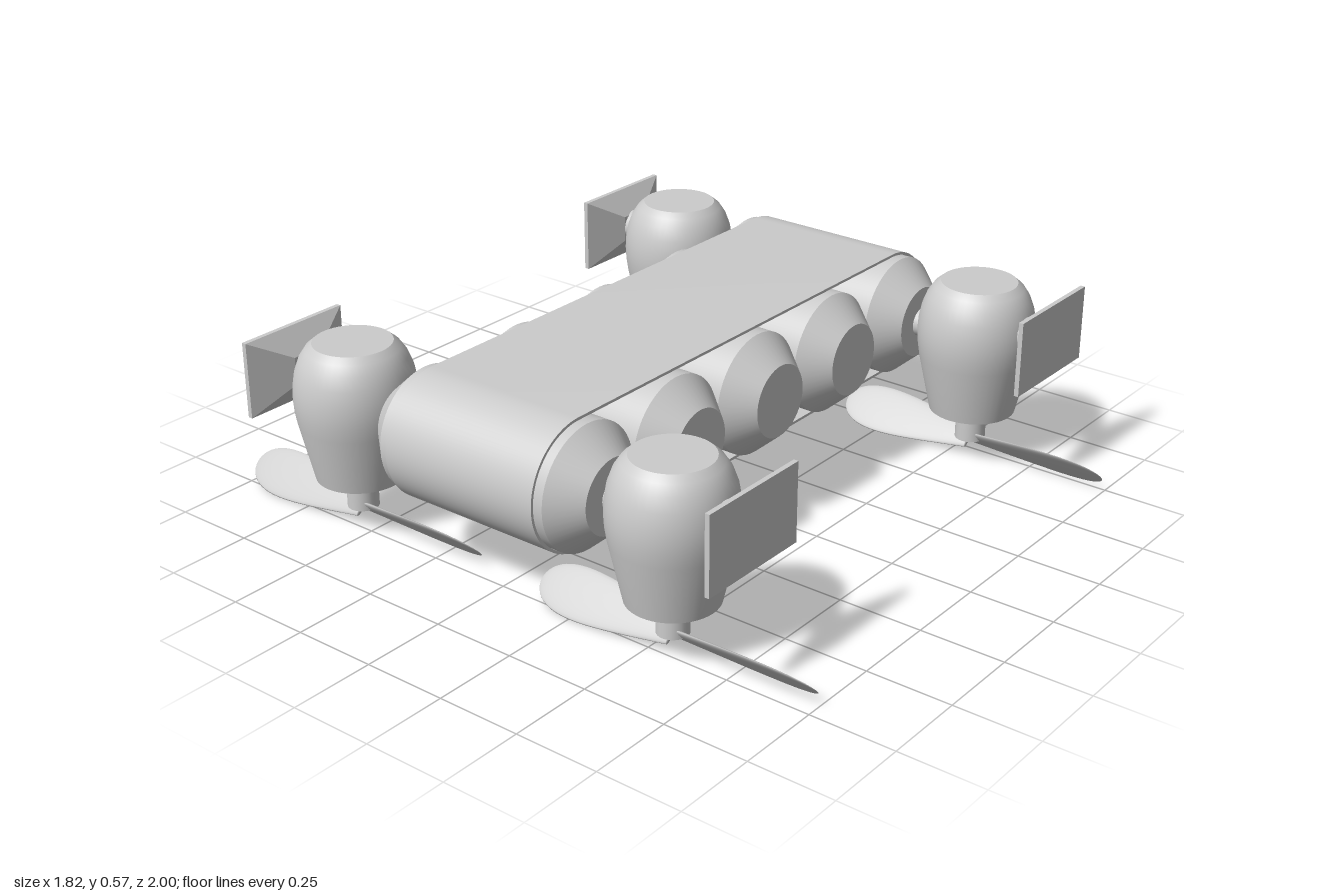
import * as THREE from 'three';
import { toCreasedNormals } from 'three/addons/utils/BufferGeometryUtils.js';

const grey = new THREE.MeshStandardMaterial({ color: 0xcccccc });

function part(name, geometry, parent, x = 0, y = 0, z = 0) {
  const mesh = new THREE.Mesh(geometry, grey);
  mesh.name = name;
  mesh.position.set(x, y, z);
  parent.add(mesh);
  return mesh;
}

// Smooth turned solid whose sharp rims stay sharp
function turned(points) {
  const profile = points.map(([r, h]) => new THREE.Vector2(r, h));
  return toCreasedNormals(new THREE.LatheGeometry(profile, 48), 0.5);
}

// Rounded-end outline of the belt, seen from the front
function beltOutline(target, r, halfLength) {
  target.moveTo(-halfLength, -r);
  target.lineTo(halfLength, -r);
  target.absarc(halfLength, 0, r, -Math.PI / 2, Math.PI / 2, false);
  target.lineTo(-halfLength, r);
  target.absarc(-halfLength, 0, r, Math.PI / 2, Math.PI * 1.5, false);
  return target;
}

function beltGeometry(width) {
  const shape = beltOutline(new THREE.Shape(), 0.188, 0.72);
  shape.holes.push(beltOutline(new THREE.Path(), 0.18, 0.72));
  const g = new THREE.ExtrudeGeometry(shape, { depth: width, bevelEnabled: false, curveSegments: 24 });
  g.translate(0, 0, -width / 2);
  return toCreasedNormals(g, 0.5);
}

// Paddle-shaped blade along +z, made by reshaping a sphere and pitching it
function bladeGeometry(length) {
  const g = new THREE.SphereGeometry(1, 24, 32).rotateX(Math.PI / 2);
  const p = g.attributes.position;
  for (let i = 0; i < p.count; i++) {
    const z = p.getZ(i);
    const ring = Math.sqrt(Math.max(1e-9, 1 - z * z));
    const t = (z + 1) / 2;
    const halfWidth = (0.035 + 0.07 * t) * Math.sqrt(Math.max(0, 1 - t ** 4));
    const halfThick = 0.008 * Math.sqrt(Math.max(0, 1 - t ** 4));
    p.setXYZ(i, (p.getX(i) / ring) * halfWidth, (p.getY(i) / ring) * halfThick, t * length);
  }
  g.rotateZ(-Math.PI / 4);
  g.computeVertexNormals();
  return g;
}

// Block whose back narrows toward the neck
function flaredPlate(width, height, depth, scaleX, scaleY) {
  const g = new THREE.BoxGeometry(width, height, depth);
  const p = g.attributes.position;
  for (let i = 0; i < p.count; i++) {
    if (p.getZ(i) < 0) p.setXY(i, p.getX(i) * scaleX, p.getY(i) * scaleY);
  }
  g.computeVertexNormals();
  return g;
}

export function createModel() {
  const model = new THREE.Group();
  model.name = 'trackedDrone';
  const axisY = 0.388;

  // Belt and the five rollers inside it
  part('belt', beltGeometry(0.51), model, 0, axisY, 0);
  const roller = turned([
    [0, -0.365], [0.107, -0.365], [0.179, -0.283], [0.179, 0.283], [0.107, 0.365], [0, 0.365],
  ]).rotateX(Math.PI / 2);
  for (let i = -2; i <= 2; i++) part('roller', roller, model, i * 0.36, axisY, 0);

  // Shared shapes for the four corner thrusters
  const pod = turned([
    [0, 0.163], [0.127, 0.163], [0.165, 0.335], [0.171, 0.375], [0.173, 0.41], [0.171, 0.445],
    [0.164, 0.485], [0.15, 0.523], [0.132, 0.55], [0.112, 0.567], [0, 0.567],
  ]);
  const axle = new THREE.CylinderGeometry(0.043, 0.043, 0.25, 32).rotateX(Math.PI / 2);
  const neck = new THREE.CylinderGeometry(0.05, 0.05, 0.12, 32).rotateX(Math.PI / 2);
  const shaft = new THREE.CylinderGeometry(0.045, 0.045, 0.115, 32);
  const flare = flaredPlate(0.355, 0.225, 0.05, 0.28, 0.36);
  const rim = new THREE.BoxGeometry(0.355, 0.225, 0.014);
  const blade = bladeGeometry(0.443);

  for (const x of [-0.72, 0.72]) {
    for (const side of [1, -1]) {
      const thruster = new THREE.Group();
      thruster.name = side > 0 ? 'frontThruster' : 'rearThruster';
      thruster.position.set(x, 0, side * 0.557);
      thruster.rotation.y = side > 0 ? 0 : Math.PI;
      model.add(thruster);

      part('pod', pod, thruster);
      part('axle', axle, thruster, 0, axisY, -0.14);
      part('neck', neck, thruster, 0, 0.442, 0.135);
      part('flare', flare, thruster, 0, 0.442, 0.21);
      part('plateRim', rim, thruster, 0, 0.442, 0.242);
      part('propellerShaft', shaft, thruster, 0, 0.1225, 0);
      for (const turn of [0, Math.PI]) {
        part('propellerBlade', blade, thruster, 0, 0.062, 0).rotation.y = turn;
      }
    }
  }
  return model;
}
